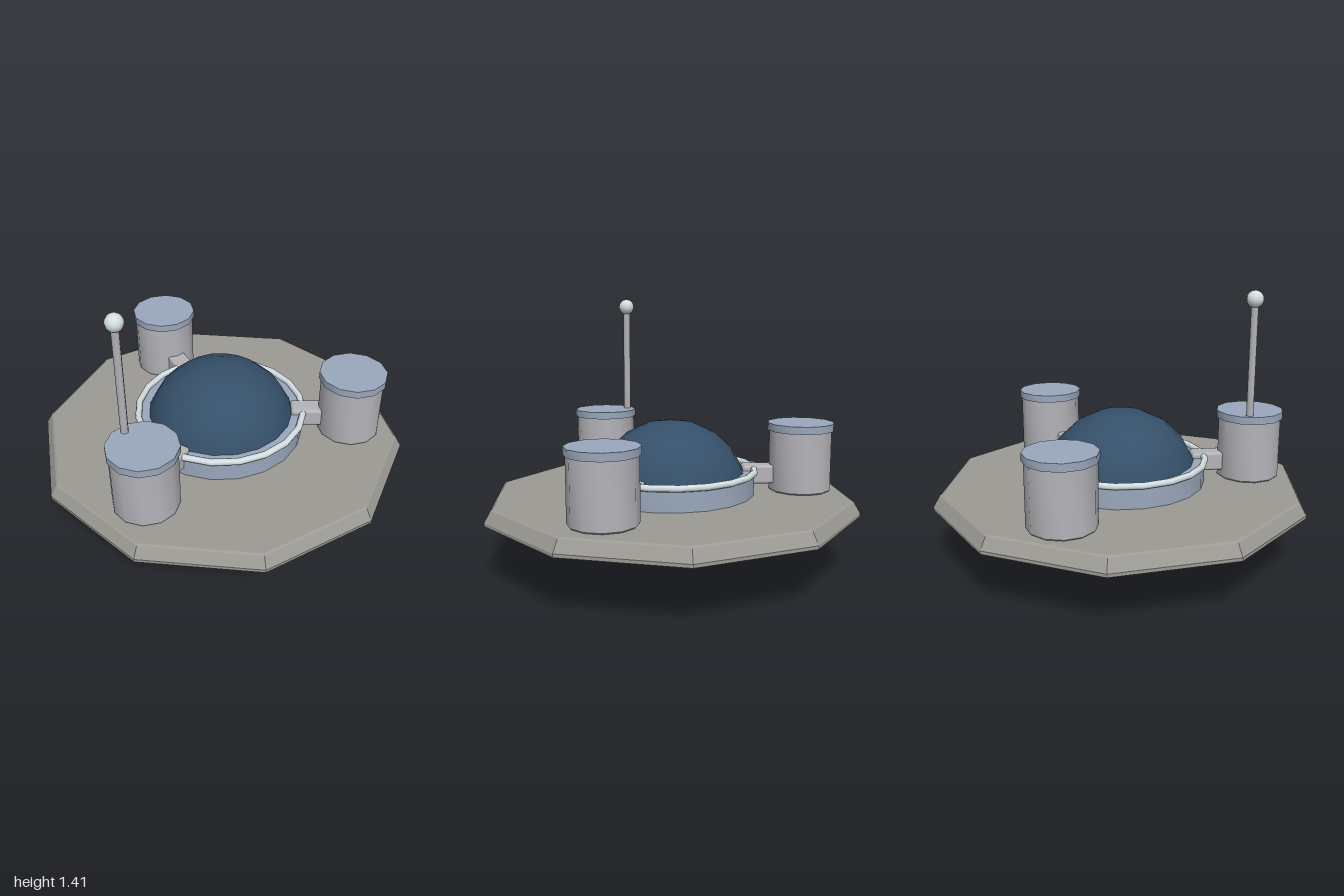
import * as THREE from 'three';
import { toCreasedNormals } from 'three/addons/utils/BufferGeometryUtils.js';
import { RoundedBoxGeometry } from 'three/addons/geometries/RoundedBoxGeometry.js';

const material = (color, extra = {}) => {
  const m = new THREE.MeshStandardMaterial(extra);
  m.color.set(color);
  return m;
};
const stone = material(0x9c9a94, { flatShading: true });
const glass = material(0x35506a);
const steel = material(0xb4b4b9);
const blueSteel = material(0x9aa8bc);
const bright = material(0xd5e0e3);

function add(parent, name, geometry, mat, x = 0, y = 0, z = 0) {
  const mesh = new THREE.Mesh(geometry, mat);
  mesh.name = name;
  mesh.position.set(x, y, z);
  parent.add(mesh);
  return mesh;
}

// Solid of revolution from [radius, height] pairs, smooth around but sharp at the rims
function turned(points, sides) {
  const profile = points.map(([r, y]) => new THREE.Vector2(r, y));
  return toCreasedNormals(new THREE.LatheGeometry(profile, sides), 0.62);
}

// Canister with lid and the strut tying it to the central collar
function createCanister(bearing) {
  const arm = new THREE.Group();
  arm.name = 'canisterArm';
  add(arm, 'canisterBody', turned([[0, 0.385], [0.16, 0.385], [0.17, 0.395], [0.17, 0.72], [0, 0.72]], 12), steel, 0, 0, 0.705);
  add(arm, 'canisterLid', turned([[0, 0.715], [0.18, 0.715], [0.18, 0.755], [0, 0.755]], 12), blueSteel, 0, 0, 0.705);
  add(arm, 'strut', new RoundedBoxGeometry(0.105, 0.1, 0.18, 2, 0.015), steel, 0, 0.478, 0.475);
  arm.rotation.y = bearing;
  return arm;
}

export function createModel() {
  const model = new THREE.Group();
  model.name = 'domedPlatform';

  // Ten-sided base plate with a bevelled upper edge
  const plate = [[0, 0.305], [1, 0.305], [1, 0.322], [0.992, 0.335], [0.966, 0.38], [0.955, 0.387], [0, 0.387]]
    .map(([r, y]) => new THREE.Vector2(r, y));
  add(model, 'basePlate', new THREE.LatheGeometry(plate, 10), stone);

  // Slightly flattened core passing through the plate
  const core = add(model, 'dome', new THREE.SphereGeometry(0.41, 20, 10), glass, 0, 0.388, 0);
  core.scale.y = 0.388 / 0.41;

  // Collar and bright rim around the dome
  add(model, 'collar', turned([[0.38, 0.38], [0.45, 0.38], [0.45, 0.5], [0.38, 0.5]], 20), blueSteel);
  const rim = new THREE.TorusGeometry(0.452, 0.018, 8, 20).rotateX(Math.PI / 2);
  add(model, 'collarRim', rim, bright, 0, 0.508, 0);

  // Three canisters spaced evenly
  const first = THREE.MathUtils.degToRad(-7.3);
  for (let i = 0; i < 3; i++) model.add(createCanister(first + (i * Math.PI * 2) / 3));

  // Antenna on the front canister
  add(model, 'antennaRod', new THREE.CylinderGeometry(0.02, 0.02, 0.62, 8), steel, -0.215, 1.05, 0.645);
  add(model, 'antennaBall', new THREE.SphereGeometry(0.045, 12, 8), bright, -0.215, 1.365, 0.645);

  return model;
}
